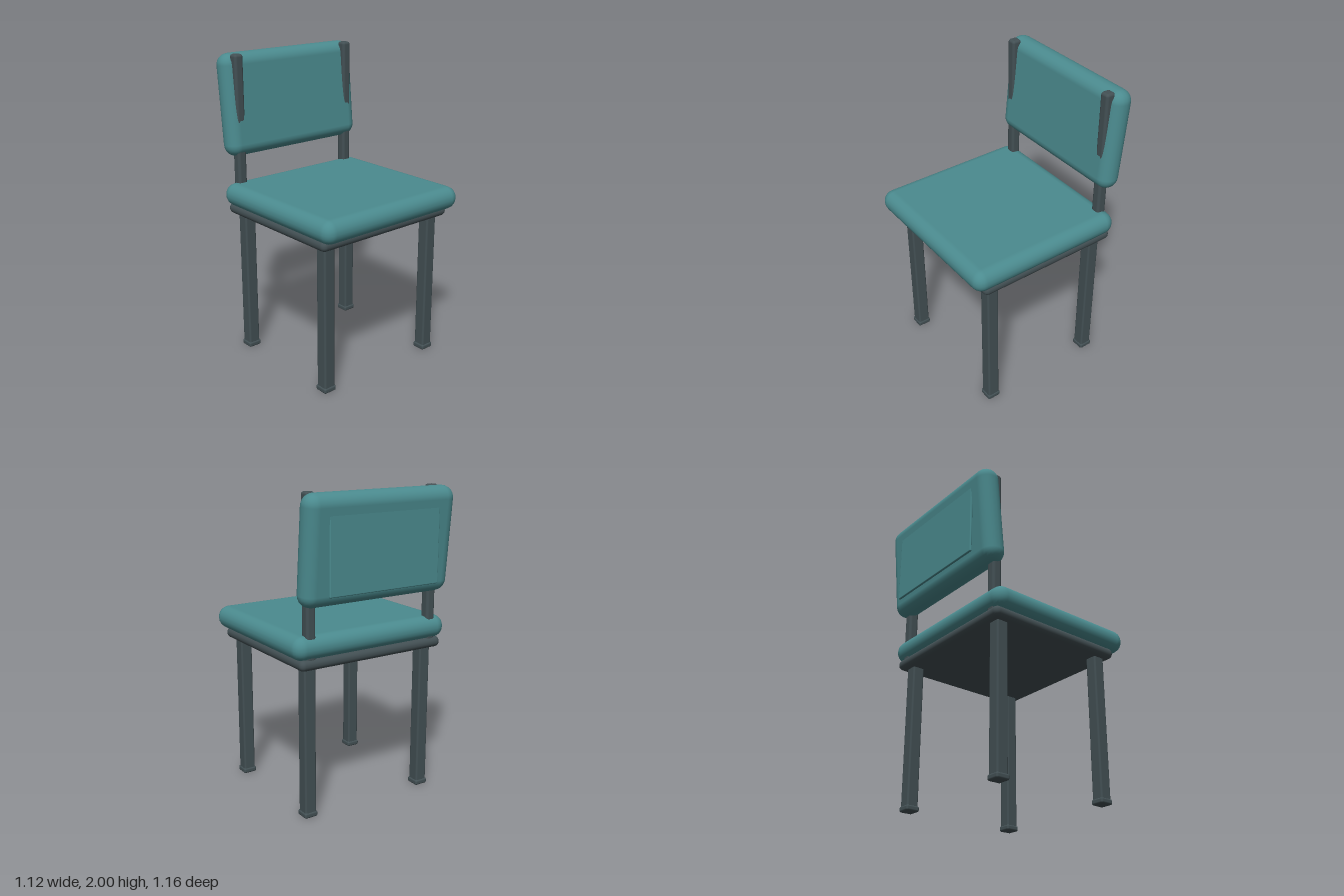
import * as THREE from 'three';
import { RoundedBoxGeometry } from 'three/addons/geometries/RoundedBoxGeometry.js';

export function createModel() {
  const chair = new THREE.Group();
  chair.name = 'chair';
  const fabric = new THREE.MeshStandardMaterial({ color: 0x4b8b8f });
  const metal = new THREE.MeshStandardMaterial({ color: 0x435054 });

  // Rounded box given by its size and centre
  function part(name, size, centre, radius, material, segments = 3) {
    const mesh = new THREE.Mesh(new RoundedBoxGeometry(...size, segments, radius), material);
    mesh.name = name;
    mesh.position.set(...centre);
    chair.add(mesh);
    return mesh;
  }

  // Seat cushion on its frame
  part('seatCushion', [1.12, 0.15, 1.07], [0, 1.095, 0.048], 0.074, fabric);
  part('seatFrame', [1.05, 0.07, 0.98], [0, 0.997, 0.015], 0.034, metal);

  // Backrest leaning backwards, with a thin upright panel behind it
  const back = part('backrest', [1.06, 0.66, 0.155], [0, 1.67, -0.481], 0.076, fabric);
  back.rotation.x = -0.09;
  part('backPanel', [0.79, 0.52, 0.016], [0, 1.67, -0.569], 0.007, fabric);

  for (const [side, s] of [['left', 1], ['right', -1]]) {
    // Post carrying the backrest
    part(side + 'BackPost', [0.064, 1.0, 0.066], [s * 0.446, 1.5, -0.428], 0.018, metal);

    // Legs with foot caps
    for (const [end, z] of [['Front', 0.415], ['Back', -0.385]]) {
      part(side + end + 'Leg', [0.08, 0.97, 0.08], [s * 0.435, 0.5, z], 0.012, metal);
      part(side + end + 'Foot', [0.092, 0.036, 0.092], [s * 0.435, 0.018, z], 0.012, metal);
    }
  }
  return chair;
}
